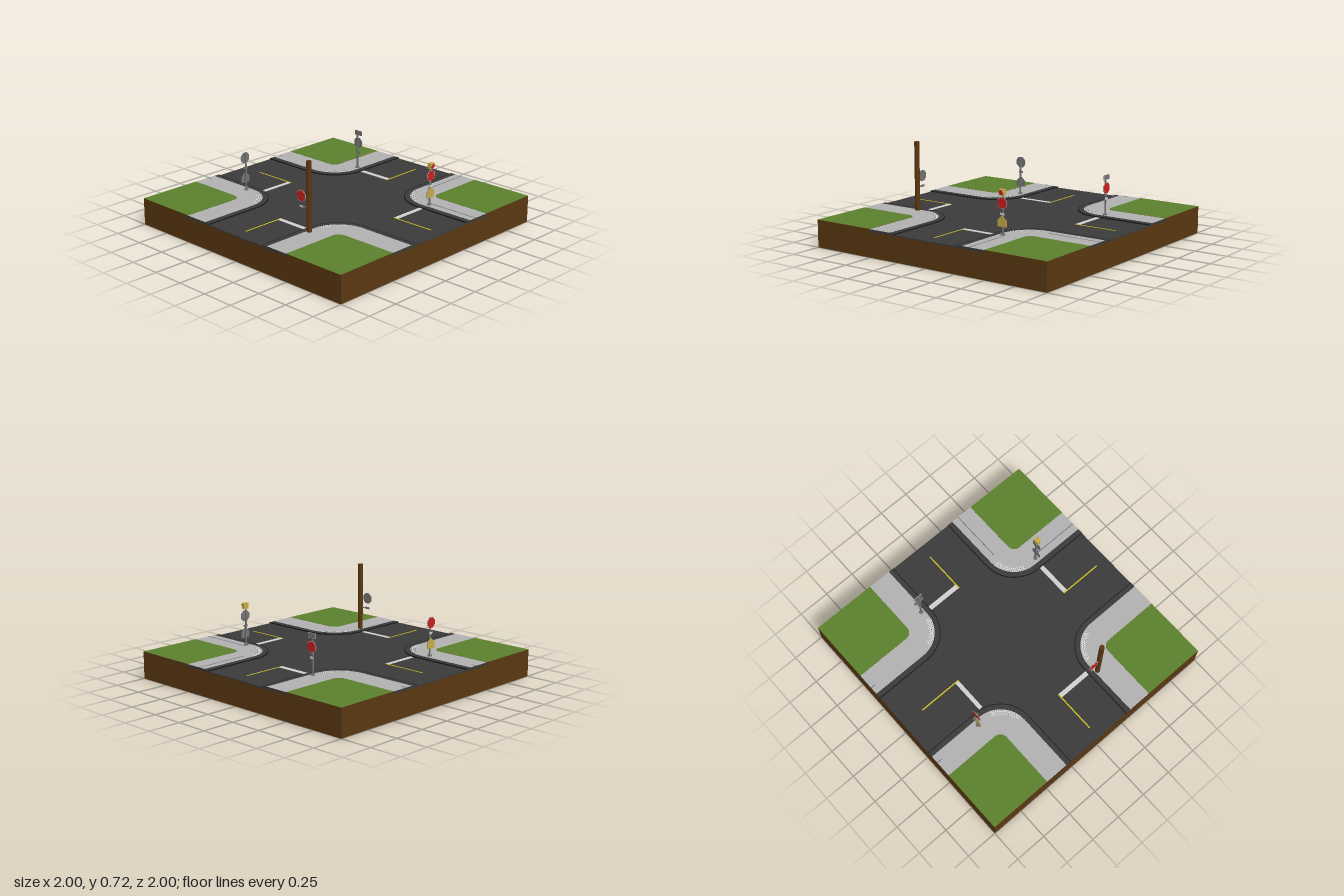
import * as THREE from 'three';
import { mergeGeometries } from 'three/addons/utils/BufferGeometryUtils.js';

const mat = (name, color) => Object.assign(new THREE.MeshStandardMaterial({ color }), { name });

export function createModel() {
  const M = {
    earth: mat('earth and wood brown', 0x593710),
    asphalt: mat('asphalt', 0x3a3a3a),
    concrete: mat('concrete', 0xb0b0b0),
    grass: mat('grass', 0x5b7f2d),
    white: mat('white paint', 0xcfcfcf),
    yellow: mat('yellow road paint', 0xc9ba22),
    red: mat('sign red', 0xc81e1e),
    amber: mat('sign yellow', 0xc6a945),
    metal: mat('metal grey', 0x727272),
    dark: mat('dark seam', 0x1c1c1c),
  };
  const model = new THREE.Group();
  model.name = 'intersection';

  const add = (parent, name, geo, material, x = 0, y = 0, z = 0) => {
    const mesh = new THREE.Mesh(geo, material);
    mesh.name = name;
    mesh.position.set(x, y, z);
    parent.add(mesh);
    return mesh;
  };
  const box = (parent, name, w, h, d, material, x, y, z) =>
    add(parent, name, new THREE.BoxGeometry(w, h, d), material, x, y, z);

  // Ground block and the cross of road slabs
  box(model, 'earthBlock', 2, 0.186, 2, M.earth, 0, 0.093, 0);
  box(model, 'roadLong', 1, 0.009, 2, M.asphalt, 0, 0.1905, 0);
  for (const s of [-1, 1]) box(model, 'roadSide', 0.5, 0.009, 1, M.asphalt, s * 0.75, 0.1905, 0);

  // Rounded corner line from (1, d) to (d, 1)
  const bend = (d, r) => {
    const pts = [[1, d]];
    for (let i = 0; i <= 16; i++) {
      const a = -Math.PI / 2 - (i / 16) * Math.PI / 2;
      pts.push([d + r + r * Math.cos(a), d + r + r * Math.sin(a)]);
    }
    pts.push([d, 1]);
    return pts;
  };
  // Slab from a plan outline, mirrored into a quadrant, with its top at a given height
  const slab = (name, pts, sx, sz, top, depth, materials) => {
    const shape = new THREE.Shape(pts.map(([x, z]) => new THREE.Vector2(x * sx, z * sz)));
    const geo = new THREE.ExtrudeGeometry(shape, { depth, bevelEnabled: false });
    geo.rotateX(Math.PI / 2);
    add(model, name, geo, materials, 0, top, 0);
  };
  const strip = (d1, r1, d2, r2) => [...bend(d1, r1), ...bend(d2, r2).reverse()];

  // Tactile pad outline around the kerb arc centre
  const C = 0.55, deg = Math.PI / 180;
  const onArc = (r, a) => [C - r * Math.cos(a * deg), C - r * Math.sin(a * deg)];
  const pad = [];
  for (let a = 10; a <= 70; a += 5) pad.push(onArc(0.233, a));
  for (let a = 70; a >= 10; a -= 5) pad.push(onArc(0.193, a));

  // Four corners: kerb, seam, sidewalk, lawn, tactile pad
  for (const sx of [-1, 1]) for (const sz of [-1, 1]) {
    slab('kerb', strip(0.275, 0.275, 0.315, 0.235), sx, sz, 0.203, 0.017, M.asphalt);
    slab('kerbSeam', strip(0.271, 0.279, 0.277, 0.273), sx, sz, 0.2036, 0.012, M.dark);
    slab('sidewalk', strip(0.315, 0.235, 0.5, 0.06), sx, sz, 0.205, 0.019, [M.concrete, M.asphalt]);
    slab('lawn', [...bend(0.5, 0.06), [1, 1]], sx, sz, 0.206, 0.02, [M.grass, M.earth]);
    slab('tactilePad', pad, sx, sz, 0.2062, 0.002, M.white);
    const dots = [];
    for (let row = 0; row < 3; row++) for (let a = 12; a <= 68; a += 4) {
      const [x, z] = onArc(0.2 + row * 0.013, a + (row % 2) * 2);
      dots.push(new THREE.CylinderGeometry(0.0025, 0.0035, 0.002, 6).translate(x * sx, 0.2071, z * sz));
    }
    add(model, 'tactileDots', mergeGeometries(dots), M.metal);
  }

  // Sidewalk joints
  box(model, 'joint', 0.006, 0.002, 0.42, M.metal, 0.373, 0.2055, -0.79);
  box(model, 'joint', 0.4, 0.002, 0.006, M.metal, 0.8, 0.2055, -0.375);
  for (const s of [-1, 1]) box(model, 'joint', 0.04, 0.002, 0.006, M.metal, -0.98, 0.2055, s * 0.375);

  // Road paint, given as x0, x1, z0, z1
  const paint = (name, material, x0, x1, z0, z1) =>
    box(model, name, x1 - x0, 0.002, z1 - z0, material, (x0 + x1) / 2, 0.196, (z0 + z1) / 2);
  paint('centreLine', M.yellow, -0.005, 0.005, -0.89, -0.55);
  paint('centreLine', M.yellow, -0.005, 0.005, 0.565, 0.905);
  paint('centreLine', M.yellow, -0.825, -0.48, -0.005, 0.005);
  paint('centreLine', M.yellow, 0.565, 0.905, -0.005, 0.005);
  paint('stopBar', M.white, -0.271, -0.005, -0.59, -0.553);
  paint('stopBar', M.white, 0.005, 0.271, 0.565, 0.6);
  paint('stopBar', M.white, 0.565, 0.6, -0.271, -0.005);
  paint('stopBar', M.white, -0.512, -0.48, 0.005, 0.271);

  // Flat sign with a grey back and thin painted faces; local front is +z
  const plate = (parent, name, pts, faces, y) => {
    const make = (scale, depth) => new THREE.ExtrudeGeometry(
      new THREE.Shape(pts.map(([u, v]) => new THREE.Vector2(u * scale, v * scale))),
      { depth, bevelEnabled: false });
    add(parent, name + 'Back', make(1, 0.004), M.metal, 0, y, 0.005);
    faces.forEach(([material, scale], i) =>
      add(parent, name + 'Face', make(scale, 0.001), material, 0, y, 0.009 + i * 0.001));
  };
  const octagon = [...Array(8)].map((_, i) => {
    const a = (i + 0.5) * Math.PI / 4;
    return [0.0435 * Math.cos(a), 0.0435 * Math.sin(a)];
  });
  const rect = (w, h) => [[-w / 2, -h / 2], [w / 2, -h / 2], [w / 2, h / 2], [-w / 2, h / 2]];
  const pentagon = [[-0.04, -0.04], [0.04, -0.04], [0.04, 0.005], [0, 0.042], [-0.04, 0.005]];

  const stopSign = (parent, y) => {
    plate(parent, 'stopPlate', octagon, [[M.white, 1], [M.red, 0.94]], y);
    plate(parent, 'smallPlate', rect(0.038, 0.016), [[M.white, 0.95]], y - 0.077);
  };
  const signGroup = (name, x, z, turn) => {
    const g = new THREE.Group();
    g.name = name;
    g.position.set(x, 0, z);
    g.rotation.y = turn;
    model.add(g);
    return g;
  };
  const post = (g, top) => {
    box(g, 'signPost', 0.011, top - 0.2, 0.009, M.metal, 0, (top + 0.2) / 2, 0);
    add(g, 'postFoot', new THREE.CylinderGeometry(0.015, 0.017, 0.01, 10), M.metal, 0, 0.21, 0);
  };

  // Front: sign bracketed to a wooden pole
  const front = signGroup('poleSign', 0.27, 0.62, 0);
  add(front, 'woodenPole', new THREE.CylinderGeometry(0.019, 0.019, 0.52, 16), M.earth, 0.067, 0.46, 0);
  for (const y of [0.455, 0.378]) box(front, 'bracket', 0.07, 0.007, 0.007, M.metal, 0.03, y, 0.001);
  stopSign(front, 0.455);

  // Back: sign with a wide plate on top
  const back = signGroup('backSign', -0.34, -0.59, Math.PI);
  post(back, 0.5);
  stopSign(back, 0.407);
  plate(back, 'topPlate', rect(0.07, 0.037), [[M.white, 1], [M.metal, 0.9]], 0.487);

  // Left: sign with a warning plate and beacon
  const left = signGroup('beaconSign', 0.594, -0.353, Math.PI / 2);
  post(left, 0.49);
  stopSign(left, 0.43);
  plate(left, 'warningPlate', pentagon, [[M.amber, 0.98]], 0.303);
  box(left, 'beaconHousing', 0.042, 0.042, 0.026, M.amber, 0, 0.506, 0.006);
  const lens = add(left, 'beaconLens', new THREE.CylinderGeometry(0.018, 0.018, 0.005, 16), M.red, 0, 0.506, 0.021);
  lens.rotation.x = Math.PI / 2;
  const visor = add(left, 'beaconVisor',
    new THREE.CylinderGeometry(0.02, 0.02, 0.012, 12, 1, true, Math.PI / 2, Math.PI), M.amber, 0, 0.506, 0.024);
  visor.rotation.x = Math.PI / 2;
  visor.material = M.amber;
  M.amber.side = THREE.DoubleSide;

  // Right: sign with a warning plate
  const right = signGroup('warningSign', -0.594, 0.353, -Math.PI / 2);
  post(right, 0.495);
  stopSign(right, 0.455);
  plate(right, 'warningPlate', pentagon, [[M.amber, 0.98]], 0.303);

  return model;
}
